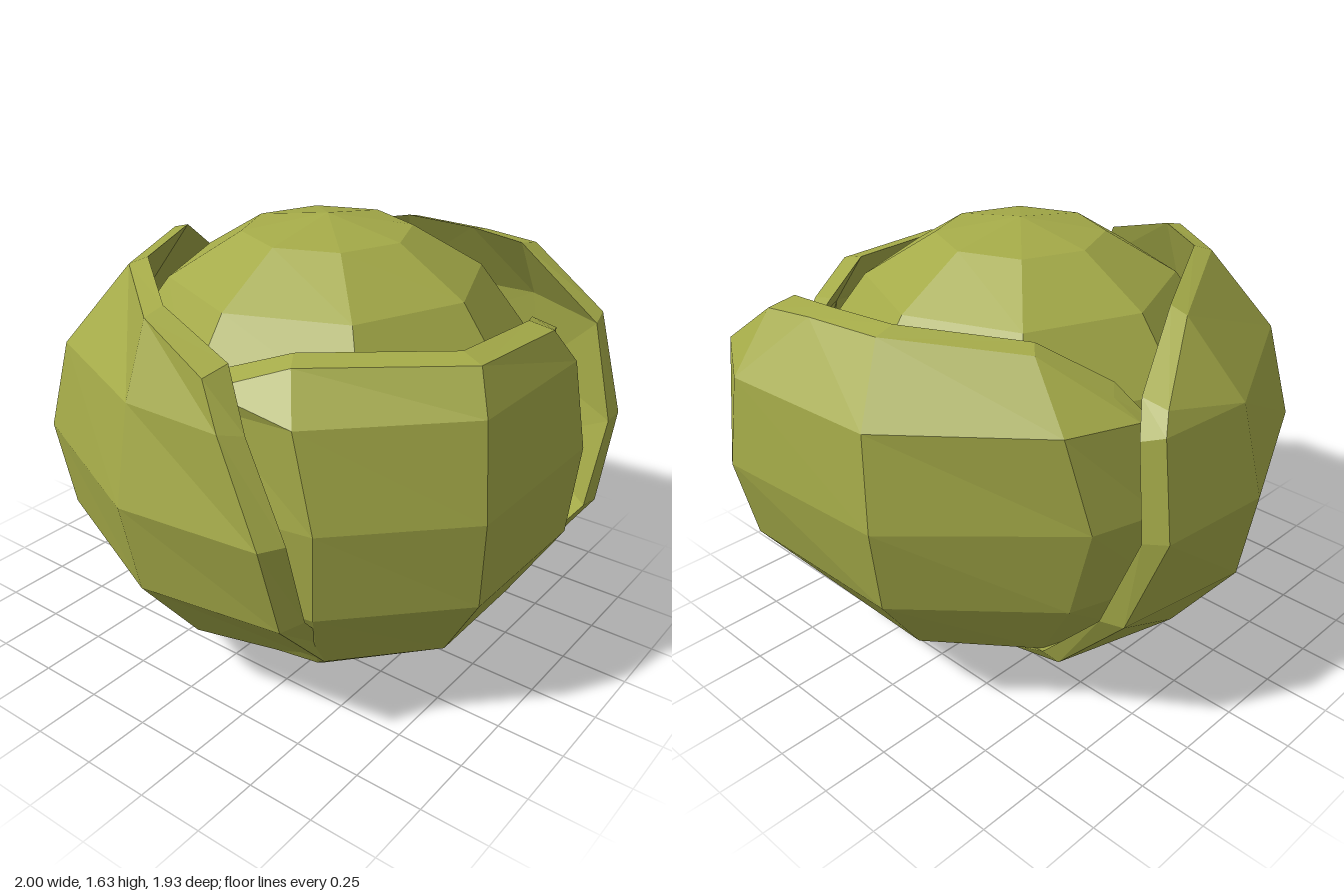
import * as THREE from 'three';

const leafGreen = new THREE.MeshStandardMaterial({ color: 0xa4aa48 });
leafGreen.name = 'leafGreen';

const CENTRE_Y = 0.86;
// heights of the rings below the rim, top to bottom
const RING_Y = [1.2, 0.86, 0.53, 0.23, 0.045, 0.005];

// Duplicate the vertices so that each face is shaded flat
function facet(geometry) {
  const g = geometry.index ? geometry.toNonIndexed() : geometry;
  g.computeVertexNormals();
  return g;
}

// Point from azimuth (degrees, 0 = front, 90 = +x), height and radius
function polar([az, y, r]) {
  const a = THREE.MathUtils.degToRad(az);
  return new THREE.Vector3(r * Math.sin(a), y, r * Math.cos(a));
}

// Inner skin: set in toward the axis, and reaching past the outer skin at the
// rim and both side edges so that the cut edge is bevelled outward
function inset([az, y, r], isRim, side) {
  if (isRim) return [az + side * 3, y + 0.02, r * 0.9];
  const t = side ? 0.045 : 0.08;
  return [az + side * 4.5, THREE.MathUtils.lerp(y, CENTRE_Y, t), r * (1 - t)];
}

// Thick curved leaf.
// rim: [azimuth, height, radius] of each column's top
// radii: widest radius of each column
// taper: relative radius of each ring
// azimuths: one list of column azimuths per ring
function leaf(name, { rim, radii, taper, azimuths }) {
  const rows = RING_Y.length + 1, cols = rim.length;
  const rings = RING_Y.map((y, i) => azimuths[i].map((az, j) => [az, y, radii[j] * taper[i]]));
  const grid = [rim, ...rings];
  const outer = grid.map((row) => row.map(polar));
  const inner = grid.map((row, i) => row.map((p, j) => {
    const side = j === 0 ? -1 : j === cols - 1 ? 1 : 0;
    return polar(inset(p, i === 0, side));
  }));

  const positions = [];
  const quad = (a, b, c, d) => {
    for (const p of [a, b, c, a, c, d]) positions.push(p.x, p.y, p.z);
  };
  for (let i = 0; i < rows - 1; i++) {
    for (let j = 0; j < cols - 1; j++) {
      quad(outer[i][j], outer[i + 1][j], outer[i + 1][j + 1], outer[i][j + 1]);
      quad(inner[i][j], inner[i][j + 1], inner[i + 1][j + 1], inner[i + 1][j]);
    }
  }
  // cut edge all the way round
  const loop = [];
  for (let i = 0; i < rows - 1; i++) loop.push([i, 0]);
  for (let j = 0; j < cols - 1; j++) loop.push([rows - 1, j]);
  for (let i = rows - 1; i > 0; i--) loop.push([i, cols - 1]);
  for (let j = cols - 1; j > 0; j--) loop.push([0, j]);
  loop.forEach(([i, j], n) => {
    const [k, l] = loop[(n + 1) % loop.length];
    quad(outer[k][l], outer[i][j], inner[i][j], inner[k][l]);
  });

  const g = new THREE.BufferGeometry();
  g.setAttribute('position', new THREE.Float32BufferAttribute(positions, 3));
  const mesh = new THREE.Mesh(facet(g), leafGreen);
  mesh.name = name;
  return mesh;
}

export function createModel() {
  const group = new THREE.Group();
  group.name = 'cabbage';

  // Round heart
  const ball = new THREE.SphereGeometry(1, 8, 8);
  ball.scale(0.8, 0.72, 0.8);
  const core = new THREE.Mesh(facet(ball), leafGreen);
  core.name = 'core';
  core.position.set(-0.01, 0.915, 0.06);
  group.add(core);

  // Innermost leaf, at the front
  group.add(leaf('frontLeaf', {
    rim: [[-77, 1.27, 0.83], [-58, 1.35, 0.78], [-18, 1.345, 0.9], [11, 1.33, 0.89], [27, 1.25, 0.87]],
    radii: [0.85, 0.955, 1.03, 1.01, 0.92],
    taper: [0.95, 1, 0.97, 0.78, 0.53, 0.11],
    azimuths: [
      [-78, -57, -20, 16, 32],
      [-78, -53, -21, 18, 44],
      [-78, -53, -20, 16, 44],
      [-75, -52, -18, 15, 42],
      [-72, -50, -18, 14, 40],
      [-72, -50, -18, 14, 40],
    ],
  }));

  // Middle leaf, on the +x side, lapping over the front one
  group.add(leaf('leftLeaf', {
    rim: [[60, 1.41, 0.93], [72, 1.43, 0.83], [94, 1.44, 0.76], [135, 1.4, 0.64], [156, 1.26, 0.7]],
    radii: [1.15, 1.12, 0.98, 0.86, 0.82],
    taper: [0.96, 1, 0.94, 0.71, 0.38, 0.11],
    azimuths: [
      [45, 64, 100, 141, 160],
      [36, 63, 102, 147, 165],
      [31, 60, 101, 143, 170],
      [27, 56, 98, 138, 170],
      [24, 54, 96, 138, 170],
      [30, 54, 96, 138, 170],
    ],
  }));

  // Outermost leaf, round the back and the -x side
  group.add(leaf('backLeaf', {
    rim: [[-197, 1.27, 0.87], [-178, 1.46, 0.68], [-127, 1.49, 0.67], [-94, 1.45, 0.81], [-74, 1.35, 0.92]],
    radii: [0.99, 0.975, 0.985, 1, 1.06],
    taper: [0.92, 1, 0.94, 0.7, 0.37, 0.11],
    azimuths: [
      [-199, -175, -131, -93, -70],
      [-200, -174, -134, -92, -62],
      [-207, -174, -134, -91, -59],
      [-218, -176, -133, -90, -50],
      [-238, -180, -132, -86, -30],
      [-238, -180, -132, -86, -30],
    ],
  }));

  return group;
}
